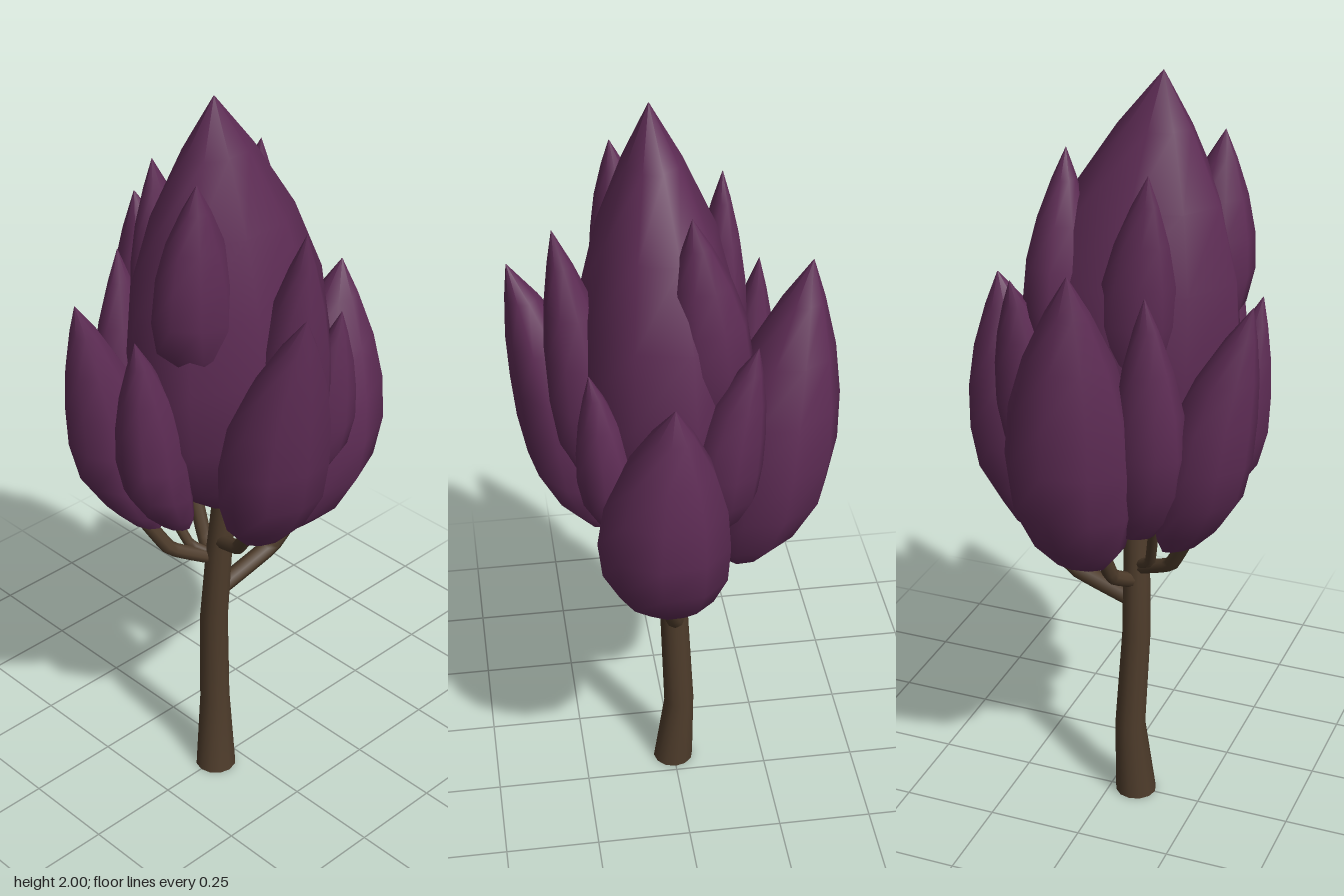
import * as THREE from 'three';

const { lerp } = THREE.MathUtils;

// Loft through rings of [x, y, z, radiusX, radiusZ, slopeX, slopeZ], capped at the bottom
function loft(rings, sides, turn = 0) {
  const pos = [], idx = [];
  for (const [x, y, z, rx, rz, sx = 0, sz = 0] of rings) {
    for (let i = 0; i < sides; i++) {
      const a = turn + (i / sides) * Math.PI * 2;
      const dx = Math.cos(a) * rx, dz = Math.sin(a) * rz;
      pos.push(x + dx, y + dx * sx + dz * sz, z + dz);
    }
  }
  for (let j = 0; j < rings.length - 1; j++) {
    for (let i = 0; i < sides; i++) {
      const k = (i + 1) % sides;
      const a = j * sides + i, b = j * sides + k, c = a + sides, d = b + sides;
      idx.push(a, c, b, b, c, d);
    }
  }
  // separate vertices keep the bottom rim sharp
  const base = pos.length / 3;
  for (let i = 0; i < sides; i++) pos.push(pos[i * 3], pos[i * 3 + 1], pos[i * 3 + 2]);
  for (let i = 1; i < sides - 1; i++) idx.push(base, base + i, base + i + 1);
  const g = new THREE.BufferGeometry();
  g.setAttribute('position', new THREE.Float32BufferAttribute(pos, 3));
  g.setIndex(idx);
  g.computeVertexNormals();
  return g;
}

// Height along a leaf mass and its relative width
const PROFILE = [[0, 0.4], [0.08, 0.72], [0.22, 0.95], [0.38, 1], [0.55, 0.92], [0.72, 0.68], [0.88, 0.33], [1, 0.004]];

// Leaf mass: its foot sits nearer the trunk and tilts outward, then it leans to a point
function leafMass(footY, [midX, midZ], [tipX, tipY, tipZ], [rx, rz], turn) {
  const lean = (mid, tip, t) => t < 0.4
    ? lerp(mid * 0.74, mid, Math.sin((t / 0.4) * Math.PI / 2))
    : lerp(mid, tip, Math.pow((t - 0.4) / 0.6, 1.3));
  const rings = PROFILE.map(([t, w]) => [
    lean(midX, tipX, t), lerp(footY, tipY, t), lean(midZ, tipZ, t),
    rx * w, rz * w, midX * (1 - t), midZ * (1 - t),
  ]);
  return loft(rings, 9, turn);
}

export function createModel() {
  const tree = new THREE.Group();
  tree.name = 'tree';
  const foliage = new THREE.MeshStandardMaterial({ color: 0x5e2c55 });
  foliage.name = 'plum foliage';
  const bark = new THREE.MeshStandardMaterial({ color: 0x4e3c2b });
  bark.name = 'brown bark';
  const add = (name, geometry, material) => {
    const mesh = new THREE.Mesh(geometry, material);
    mesh.name = name;
    tree.add(mesh);
  };

  // Trunk: centre and radius at each bend
  const trunk = [
    [0.001, 0, 0.07, 0.055], [-0.014, 0.22, 0.058, 0.041], [-0.003, 0.5, 0.07, 0.038],
    [0.012, 0.72, 0.064, 0.035], [0.03, 0.98, 0.05, 0.03],
  ];
  add('trunk', loft(trunk.map(([x, y, z, r]) => [x, y, z, r, r]), 12), bark);

  // Branches: start height on the trunk, elbow, end, radius
  const branches = [
    ['backBranch', 0.59, [0.02, 0.65, -0.12], [0.06, 0.78, -0.19], 0.024],
    ['rightBranch', 0.65, [-0.08, 0.7, 0.03], [-0.16, 0.87, 0.01], 0.02],
    ['leftBranch', 0.75, [0.12, 0.8, 0.1], [0.19, 0.9, 0.12], 0.019],
    ['frontBranch', 0.69, [-0.05, 0.75, 0.18], [-0.1, 0.88, 0.25], 0.019],
    ['smallFrontBranch', 0.7, [-0.04, 0.74, 0.12], [-0.12, 0.9, 0.16], 0.014],
  ];
  for (const [name, startY, elbow, end, r] of branches) {
    const points = [[0.005, startY, 0.065], elbow, end].map((p) => new THREE.Vector3(...p));
    const path = new THREE.CatmullRomCurve3(points, false, 'catmullrom', 0.15);
    add(name, new THREE.TubeGeometry(path, 12, r, 8), bark);
  }

  // Leaf masses: foot height, widest centre [x, z], tip, radii [x, z]
  const masses = [
    ['crownLeaves', 0.9, [0.03, 0.045], [0.05, 2, 0.11], [0.215, 0.285]],
    ['backLeaves', 0.74, [0.065, -0.245], [0.05, 1.44, -0.33], [0.165, 0.165]],
    ['rightLeaves', 0.78, [-0.245, -0.015], [-0.335, 1.61, 0.02], [0.16, 0.165]],
    ['leftLeaves', 0.86, [0.265, 0.12], [0.395, 1.58, 0.155], [0.125, 0.145]],
    ['frontRightLeaves', 0.83, [-0.13, 0.295], [-0.12, 1.51, 0.4], [0.102, 0.115]],
    ['frontLeaves', 0.88, [0.035, 0.305], [0.055, 1.47, 0.37], [0.083, 0.095]],
    ['sideRightLeaves', 0.87, [-0.205, 0.175], [-0.23, 1.54, 0.17], [0.077, 0.095]],
    ['sideLeftLeaves', 0.98, [0.225, 0.025], [0.29, 1.72, 0.05], [0.095, 0.1]],
    ['backLeftLeaves', 0.92, [0.19, -0.13], [0.23, 1.43, -0.14], [0.075, 0.08]],
    ['backRightLeaves', 0.95, [-0.095, -0.18], [-0.165, 1.51, -0.2], [0.09, 0.092]],
    ['upperRightLeaves', 1.2, [-0.12, 0.11], [-0.13, 1.8, 0.14], [0.07, 0.1]],
    ['upperLeftLeaves', 1.28, [0.095, 0.22], [0.13, 1.85, 0.24], [0.095, 0.112]],
    ['upperBackLeaves', 1.2, [-0.065, -0.11], [-0.02, 1.81, -0.11], [0.105, 0.09]],
  ];
  masses.forEach(([name, ...shape], i) => add(name, leafMass(...shape, 0.3 + i * 0.4), foliage));
  return tree;
}
